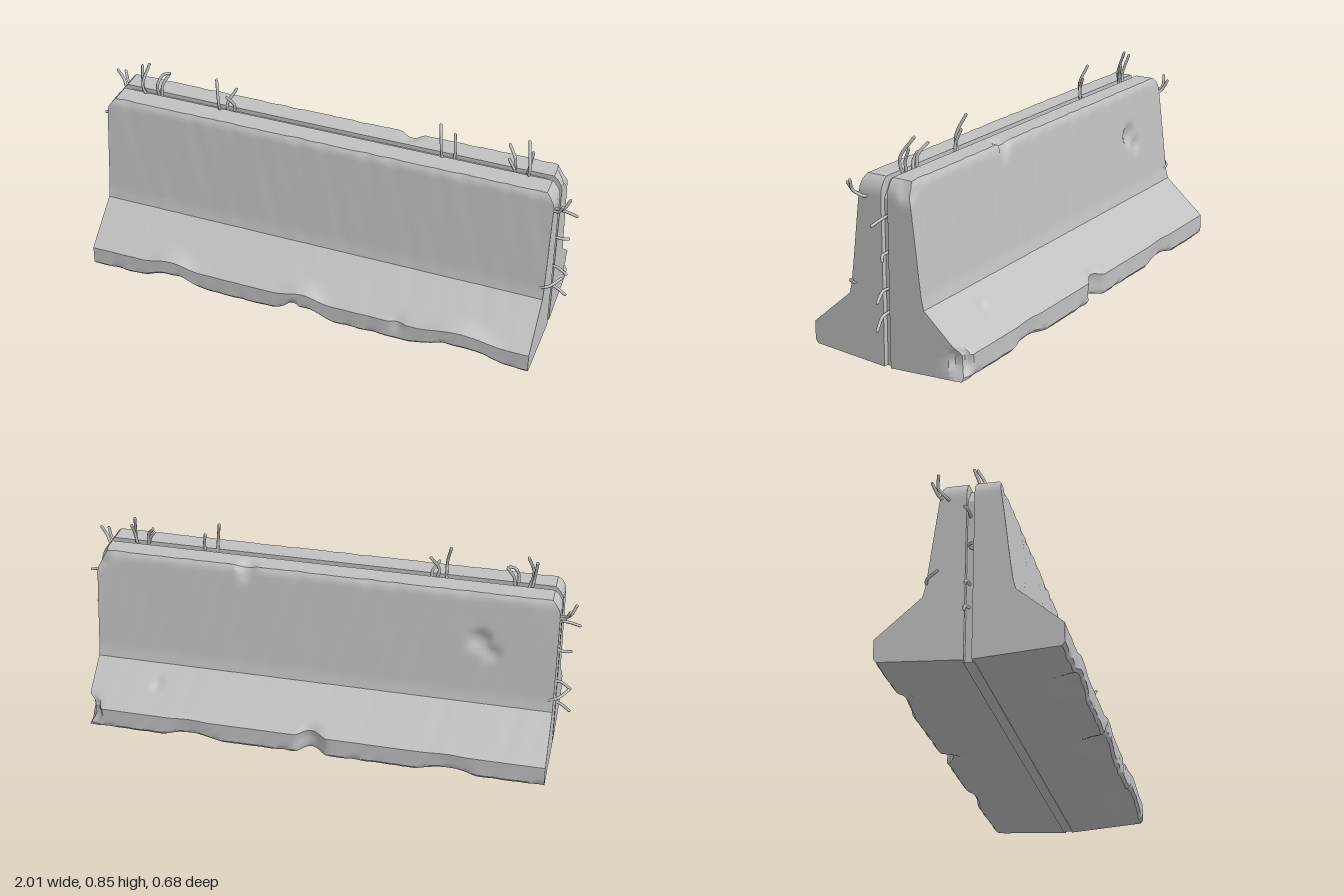
import * as THREE from 'three';
import { mergeGeometries, toCreasedNormals } from 'three/addons/utils/BufferGeometryUtils.js';

// Outer outline of one half: [y, z] from the base edge to the top edge
const OUTLINE = [[0.022, 0.326], [0.036, 0.337], [0.11, 0.336], [0.258, 0.166], [0.3, 0.156], [0.7, 0.107], [0.718, 0.096]];
const INNER = 0.014; // half width of the centre groove

// Chips: centre x, y, z, reach along x, reach across, push x, y, z
const CHIPS = [
  [-0.58, 0.02, 0.33, 0.15, 0.17, 0, 0.036, 0],
  [0, 0.02, 0.33, 0.14, 0.17, 0, 0.036, 0],
  [0.66, 0.02, 0.33, 0.22, 0.17, 0, 0.036, 0],
  [-0.05, 0.02, 0.33, 0.04, 0.06, 0, 0.008, -0.012],
  [0.4, 0.1, 0.33, 0.04, 0.05, 0, 0, -0.012],
  [0, 0.06, -0.34, 0.075, 0.12, 0, 0.015, 0.036],
  [-0.55, 0.02, -0.33, 0.13, 0.12, 0, 0.018, 0.006],
  [0.5, 0.02, -0.33, 0.13, 0.12, 0, 0.018, 0.006],
  [0.935, 0.09, -0.33, 0.07, 0.08, -0.03, 0, 0.025],
  [-0.63, 0.52, -0.13, 0.06, 0.06, 0, 0, 0.022],
  [-0.68, 0.47, -0.13, 0.05, 0.04, 0, 0, 0.014],
  [0.31, 0.718, -0.1, 0.05, 0.08, 0, -0.014, 0.014],
  [0.66, 0.2, -0.24, 0.03, 0.04, 0, -0.004, 0.01],
  [0.93, 0.69, -0.1, 0.07, 0.06, -0.012, -0.008, 0.01],
];

const lerp = THREE.MathUtils.lerp;

// Subdivided outline rows
const ROWS = [];
OUTLINE.slice(0, -1).forEach(([y, z], i) => {
  const [y2, z2] = OUTLINE[i + 1];
  const n = Math.ceil(Math.hypot(y2 - y, z2 - z) / 0.02);
  for (let k = 0; k < n; k++) ROWS.push([lerp(y, y2, k / n), lerp(z, z2, k / n)]);
});
ROWS.push(OUTLINE[OUTLINE.length - 1]);

// Half length at a height, with rounded upper corners
function halfLength(y) {
  const t = Math.max(0, (y - 0.66) / 0.058);
  return 0.936 - 0.012 * y - 0.033 * t * t;
}

// Body point: s along the length, u from groove to outer face, row up the outline
function bodyPoint(s, u, row, side) {
  const [yr, zr] = ROWS[row];
  const y = yr - (1 - u) * 0.02 * Math.max(0, 1 - (yr - 0.022) / 0.1);
  const p = new THREE.Vector3(s * halfLength(y), y, side * lerp(INNER, zr, u));
  const start = p.clone();
  for (const [cx, cy, cz, rx, r, dx, dy, dz] of CHIPS) {
    const d = Math.hypot((start.x - cx) / rx, (start.y - cy) / r, (start.z - cz) / r);
    if (d < 1) p.addScaledVector(new THREE.Vector3(dx, dy, dz), THREE.MathUtils.smoothstep(1 - d, 0, 0.8));
  }
  // worn, slightly uneven edges
  const edge = u * (yr < 0.05 || yr > 0.69 ? 1 : 0.25);
  const wave = Math.sin(start.x * 31 + side * 2) * Math.sin(start.x * 13 + start.y * 9) + 0.6 * Math.sin(start.x * 67 + start.y * 20);
  p.z -= side * edge * 0.003 * Math.max(-0.3, wave);
  p.y = Math.max(0.002, p.y);
  return p;
}

// Grid patch whose faces are turned towards the given direction
function patch(nu, nv, f, out) {
  const pos = [];
  const at = (i, j) => f(i, j);
  const a = at(nu >> 1, nv >> 1);
  const du = at((nu >> 1) + 1, nv >> 1).sub(a);
  const dv = at(nu >> 1, (nv >> 1) + 1).sub(a);
  const flip = du.cross(dv).dot(new THREE.Vector3(...out)) < 0;
  const grid = [];
  for (let i = 0; i <= nu; i++) grid.push(Array.from({ length: nv + 1 }, (_, j) => at(i, j)));
  for (let i = 0; i < nu; i++) for (let j = 0; j < nv; j++) {
    const q = [grid[i][j], grid[i + 1][j], grid[i + 1][j + 1], grid[i][j + 1]];
    if (flip) q.reverse();
    for (const k of [0, 1, 2, 0, 2, 3]) pos.push(q[k].x, q[k].y, q[k].z);
  }
  const g = new THREE.BufferGeometry();
  g.setAttribute('position', new THREE.Float32BufferAttribute(pos, 3));
  return g;
}

// One concrete half, side = 1 front, -1 back
function halfBody(side) {
  const NX = 120, NU = 10, NR = ROWS.length - 1;
  const s = i => i / NX * 2 - 1;
  return toCreasedNormals(mergeGeometries([
    patch(NX, NR, (i, j) => bodyPoint(s(i), 1, j, side), [0, 0, side]),
    patch(NX, NR, (i, j) => bodyPoint(s(i), 0, j, side), [0, 0, -side]),
    patch(NX, NU, (i, j) => bodyPoint(s(i), j / NU, NR, side), [0, 1, 0]),
    patch(NX, NU, (i, j) => bodyPoint(s(i), j / NU, 0, side), [0, -1, 0]),
    patch(NU, NR, (i, j) => bodyPoint(1, i / NU, j, side), [1, 0, 0]),
    patch(NU, NR, (i, j) => bodyPoint(-1, i / NU, j, side), [-1, 0, 0]),
  ]), 0.6);
}

// Bent wires standing on the top
const TOP_WIRES = [
  [[-0.79, 0.69, 0.01], [-0.805, 0.76, 0.025], [-0.785, 0.842, -0.01]],
  [[-0.8, 0.69, 0], [-0.81, 0.74, 0.01], [-0.82, 0.825, -0.015]],
  [[-0.75, 0.69, -0.01], [-0.75, 0.76, 0], [-0.73, 0.8, -0.02], [-0.71, 0.803, -0.03]],
  [[-0.74, 0.69, -0.01], [-0.735, 0.75, -0.015], [-0.71, 0.8, -0.035]],
  [[-0.47, 0.69, 0.01], [-0.468, 0.76, 0.03], [-0.485, 0.842, 0]],
  [[-0.43, 0.69, 0], [-0.44, 0.74, 0.01], [-0.41, 0.803, -0.02]],
  [[-0.42, 0.69, -0.01], [-0.415, 0.735, -0.005], [-0.44, 0.775, 0.01]],
  [[0.46, 0.69, 0.01], [0.457, 0.76, 0.02], [0.44, 0.842, -0.015]],
  [[0.5, 0.69, -0.01], [0.505, 0.74, -0.01], [0.495, 0.8, -0.03]],
  [[0.74, 0.69, -0.01], [0.74, 0.76, -0.01], [0.71, 0.803, -0.035]],
  [[0.75, 0.69, 0], [0.74, 0.735, 0.01], [0.72, 0.765, 0.005]],
  [[0.8, 0.69, 0.01], [0.805, 0.76, 0.02], [0.785, 0.84, -0.03]],
  [[0.79, 0.69, 0], [0.8, 0.75, 0], [0.805, 0.8, -0.02]],
];
// Wires on one end; the other end is the same turned half round
const END_WIRES = [
  [[0.9, 0.64, 0.075], [0.94, 0.645, 0.085], [0.965, 0.67, 0.11], [0.985, 0.712, 0.105]],
  [[0.9, 0.65, 0.1], [0.945, 0.655, 0.115], [0.965, 0.695, 0.133]],
  [[0.89, 0.575, 0.005], [0.95, 0.575, 0], [1, 0.565, 0.002]],
  [[0.89, 0.445, -0.01], [0.945, 0.44, 0], [0.975, 0.43, -0.02]],
  [[0.89, 0.3, 0], [0.945, 0.3, 0.005], [0.985, 0.27, 0]],
  [[0.9, 0.3, 0.15], [0.945, 0.315, 0.15], [0.985, 0.328, 0.1]],
  [[0.89, 0.215, 0], [0.95, 0.2, 0.008], [0.99, 0.165, 0]],
];

function wire(points, material, name) {
  const curve = new THREE.CatmullRomCurve3(points.map(p => new THREE.Vector3(...p)));
  const g = new THREE.Group();
  g.name = name;
  g.add(new THREE.Mesh(new THREE.TubeGeometry(curve, 12, 0.006, 7), material));
  // closed outer tip
  const tip = new THREE.Mesh(new THREE.SphereGeometry(0.006, 7, 5), material);
  tip.position.set(...points[points.length - 1]);
  g.add(tip);
  return g;
}

export function createModel() {
  const model = new THREE.Group();
  model.name = 'concreteBarrier';
  const concrete = new THREE.MeshStandardMaterial({ name: 'concrete grey', color: 0xc0c0c0 });
  const add = (geometry, name) => {
    const mesh = new THREE.Mesh(geometry, concrete);
    mesh.name = name;
    model.add(mesh);
  };

  add(halfBody(1), 'frontHalf');
  add(halfBody(-1), 'backHalf');

  // Recessed floor of the groove around top and ends
  const coreShape = new THREE.Shape([[-0.915, 0], [0.915, 0], [0.908, 0.64], [0.87, 0.7], [-0.87, 0.7], [-0.908, 0.64]]
    .map(([x, y]) => new THREE.Vector2(x, y)));
  const core = new THREE.ExtrudeGeometry(coreShape, { depth: 0.04, bevelEnabled: false });
  add(core.translate(0, 0, -0.02), 'grooveCore');

  TOP_WIRES.forEach(p => model.add(wire(p, concrete, 'topWire')));
  for (const turn of [1, -1]) {
    END_WIRES.forEach(p => model.add(wire(p.map(([x, y, z]) => [x * turn, y, z * turn]), concrete, 'endWire')));
  }
  return model;
}
